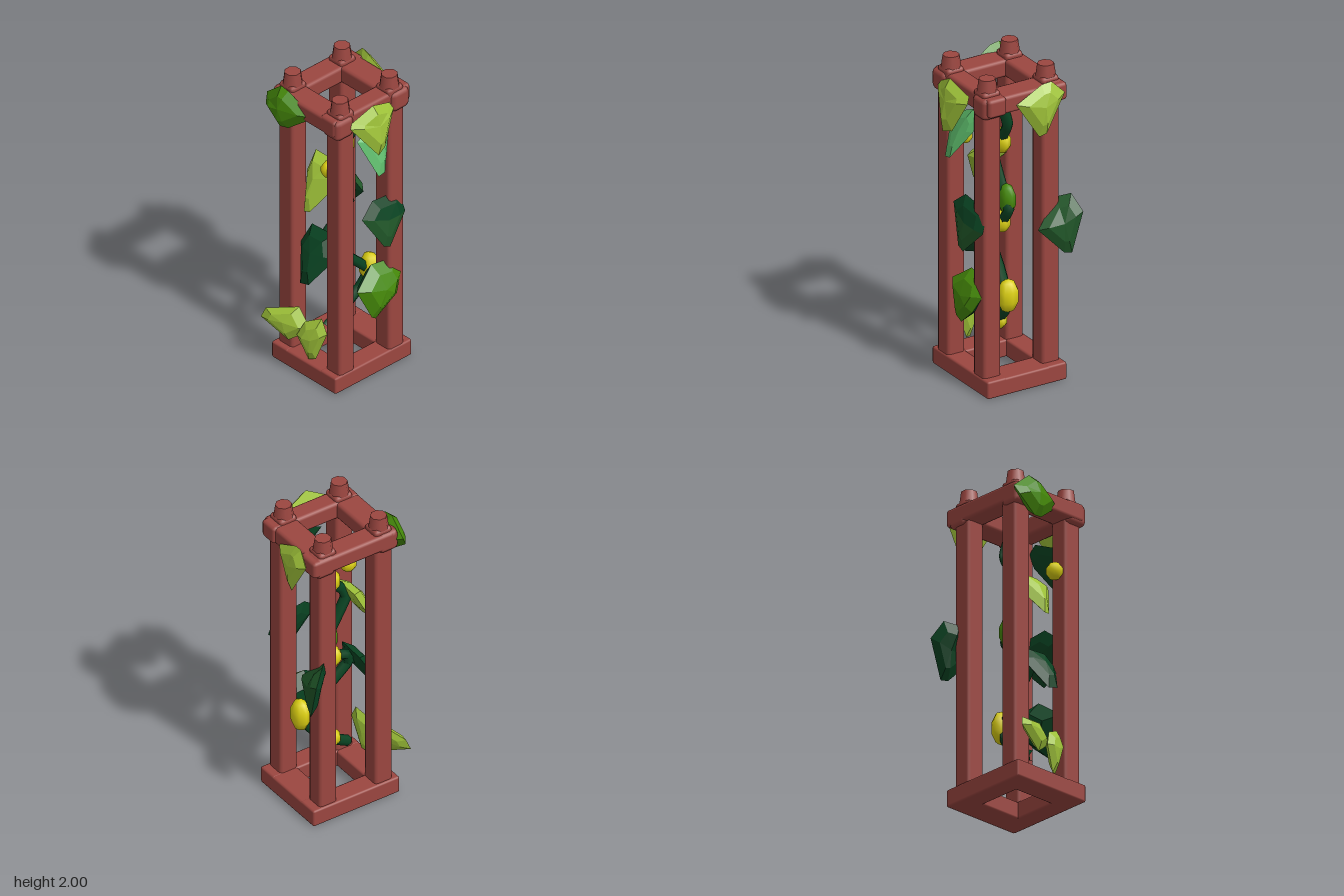
import * as THREE from 'three';
import { RoundedBoxGeometry } from 'three/addons/geometries/RoundedBoxGeometry.js';

const mat = (name, color) => {
  const m = new THREE.MeshStandardMaterial({ color });
  m.name = name;
  return m;
};

export function createModel() {
  const group = new THREE.Group();
  const wood = mat('red wood', 0x9b4640);
  const light = mat('light leaf green', 0xa0c43a);
  const mid = mat('mid leaf green', 0x468a0a);
  const mint = mat('mint green', 0x5cba6a);
  const deep = mat('deep green', 0x094322);
  const forest = mat('forest green', 0x205628);
  const yellow = mat('flower yellow', 0xdcd012);

  const add = (name, geo, material, x = 0, y = 0, z = 0) => {
    const m = new THREE.Mesh(geo, material);
    m.name = name;
    m.position.set(x, y, z);
    group.add(m);
    return m;
  };
  // Bevelled beam given by its two opposite corners
  const beam = (name, a, b, r = 0.02) => {
    const s = a.map((v, i) => Math.abs(b[i] - v));
    const c = a.map((v, i) => (v + b[i]) / 2);
    return add(name, new RoundedBoxGeometry(...s, 1, r), wood, ...c);
  };

  // Four posts with small tapered caps and knobbly joints
  for (const [x, sx] of [[-0.2, -1], [0.193, 1]]) {
    for (const [z, sz] of [[0.192, 1], [-0.21, -1]]) {
      beam('post', [x - 0.06, 0.02, z - 0.06], [x + 0.062, 1.93, z + 0.06]);
      const cap = new THREE.CylinderGeometry(0.05, 0.064, 0.1, 8);
      cap.rotateY(Math.PI / 8);
      add('postCap', cap, wood, x, 1.95, z);
      beam('joint', [x - 0.07 + sx * 0.025, 1.77, z - 0.07 + sz * 0.01],
        [x + 0.07 + sx * 0.025, 1.905, z + 0.07 + sz * 0.01], 0.03);
    }
  }
  // Top ring
  beam('topFrontBeam', [-0.3, 1.79, 0.125], [0.31, 1.905, 0.25]);
  beam('topBackBeam', [-0.26, 1.79, -0.29], [0.31, 1.9, -0.145]);
  beam('topLeftBeam', [0.13, 1.79, -0.28], [0.295, 1.9, 0.25]);
  beam('topRightBeam', [-0.3, 1.79, -0.26], [-0.14, 1.9, 0.25]);
  // Base ring
  beam('baseFront', [-0.3, 0, 0.125], [0.31, 0.11, 0.26], 0.012);
  beam('baseBack', [-0.3, 0, -0.285], [0.31, 0.11, -0.15], 0.012);
  beam('baseLeft', [0.135, 0, -0.285], [0.31, 0.108, 0.26], 0.012);
  beam('baseRight', [-0.3, 0, -0.285], [-0.14, 0.108, 0.26], 0.012);

  // Climbing zigzag stem
  const path = [
    [-0.13, 0.27, 0], [0, 0.34, 0], [0.12, 0.45, 0.02], [0.17, 0.56, 0.04],
    [0.04, 0.69, 0.01], [-0.12, 0.85, -0.01], [-0.1, 0.92, -0.02], [0, 0.96, -0.03],
    [0.08, 1.06, -0.03], [0, 1.18, -0.03], [-0.09, 1.34, -0.03], [-0.07, 1.41, -0.02],
    [0.02, 1.49, -0.01], [0.13, 1.63, 0.01], [0.13, 1.74, 0.04], [0.12, 1.82, 0.1],
  ].map(p => new THREE.Vector3(...p));
  const curve = new THREE.CatmullRomCurve3(path, false, 'catmullrom', 0.2);
  add('stem', new THREE.TubeGeometry(curve, 70, 0.033, 6), deep);
  // Short stalks to the side leaves
  for (const [a, b] of [
    [[-0.1, 0.86, -0.01], [-0.2, 0.84, 0]], [[-0.08, 1.35, -0.03], [-0.14, 1.35, -0.02]],
  ]) {
    const line = new THREE.LineCurve3(new THREE.Vector3(...a), new THREE.Vector3(...b));
    add('stalk', new THREE.TubeGeometry(line, 1, 0.025, 6), deep);
  }

  // Flowers and one green bud
  const blob = (name, m, x, y, z, rx, ry, rz) =>
    add(name, new THREE.SphereGeometry(1, 8, 5), m, x, y, z).scale.set(rx, ry, rz);
  blob('flower', yellow, 0, 0.34, 0, 0.075, 0.062, 0.054);
  blob('flower', yellow, 0.18, 0.565, 0.04, 0.06, 0.108, 0.07);
  blob('flower', yellow, 0, 0.955, -0.03, 0.055, 0.07, 0.057);
  blob('flower', yellow, 0.015, 1.485, -0.01, 0.082, 0.08, 0.058);
  blob('flower', yellow, -0.2, 1.465, 0.1, 0.055, 0.055, 0.05);
  blob('bud', mid, 0.04, 1.11, -0.04, 0.065, 0.1, 0.052);

  // Faceted leaf: an outline with a smaller raised ring and a peak on each side.
  // Materials: outer upper facets, outer lower facets, inner facets.
  const leaf = (name, pts, mats, out = 0.04, inn = 0.03) => {
    const p = pts.map(q => new THREE.Vector3(...q));
    const c = new THREE.Vector3();
    p.forEach(v => c.addScaledVector(v, 1 / p.length));
    const n = new THREE.Vector3();
    p.forEach((v, i) => n.add(v.clone().sub(c).cross(p[(i + 1) % p.length].clone().sub(c))));
    n.normalize();
    if (n.x * c.x + n.z * c.z < 0) {
      p.reverse();
      n.negate();
    }
    const pos = [];
    const geo = new THREE.BufferGeometry();
    const face = (a, b, d, m) => {
      geo.addGroup(pos.length / 3, 3, m);
      for (const v of [a, b, d]) pos.push(v.x, v.y, v.z);
    };
    for (const h of [out, -inn]) {
      const rim = h > 0 ? p : [...p].reverse();
      const ring = rim.map(v => v.clone().lerp(c, 0.4).addScaledVector(n, h * 0.75));
      const peak = c.clone().addScaledVector(n, h);
      rim.forEach((v, i) => {
        const j = (i + 1) % rim.length;
        const m = h < 0 ? 2 : (v.y + rim[j].y) / 2 < c.y ? 1 : 0;
        face(v, rim[j], ring[j], m);
        face(v, ring[j], ring[i], m);
        face(ring[i], ring[j], peak, m);
      });
    }
    geo.setAttribute('position', new THREE.Float32BufferAttribute(pos, 3));
    geo.computeVertexNormals();
    add(name, geo, mats);
  };
  const all = m => [m, m, m];

  // Front leaves
  leaf('topFrontLeaf', [[-0.2, 1.83, 0.28], [-0.18, 1.86, 0.27], [-0.04, 1.935, 0.3], [0.12, 1.87, 0.27],
    [0.135, 1.83, 0.29], [0.03, 1.63, 0.33], [-0.04, 1.61, 0.35]], all(light), 0.05, 0.035);
  leaf('mintLeaf', [[-0.11, 1.68, 0.24], [0.09, 1.77, 0.22], [0.14, 1.72, 0.22], [0.13, 1.64, 0.25],
    [0.02, 1.46, 0.34], [-0.03, 1.45, 0.34]], [mint, mint, deep], 0.025, 0.02);
  leaf('midFrontLeaf', [[-0.08, 1.12, 0.25], [0.02, 1.2, 0.23], [0.24, 1.17, 0.22], [0.255, 1.04, 0.26],
    [0.1, 0.88, 0.3], [0.05, 0.9, 0.3]], [deep, forest, deep], 0.035, 0.03);
  leaf('lowFrontLeaf', [[-0.11, 0.62, 0.24], [0.04, 0.73, 0.2], [0.2, 0.71, 0.21], [0.23, 0.62, 0.25],
    [0.17, 0.51, 0.28], [0.02, 0.39, 0.26], [-0.02, 0.42, 0.27]], [mid, mid, deep], 0.06, 0.11);
  // Leaves on the -x side
  leaf('upperSideLeaf', [[-0.12, 1.37, 0.13], [-0.08, 1.43, 0.03], [-0.08, 1.43, -0.14],
    [-0.14, 1.31, -0.15], [-0.27, 1.13, -0.04], [-0.26, 1.14, 0.0]], all(light), 0.06, 0.025);
  leaf('middleSideLeaf', [[-0.18, 0.83, 0.13], [-0.13, 0.95, 0.06], [-0.13, 0.94, -0.12],
    [-0.19, 0.83, -0.15], [-0.3, 0.64, -0.04], [-0.3, 0.66, 0.03]], all(deep), 0.05, 0.03);
  leaf('lowSideLeaf', [[-0.24, 0.33, 0.125], [-0.24, 0.42, 0.08], [-0.28, 0.37, -0.02],
    [-0.31, 0.27, -0.06], [-0.28, 0.12, 0.01], [-0.26, 0.13, 0.05]], all(light), 0.04, 0.035);
  leaf('lowBackSideLeaf', [[-0.25, 0.3, 0.0], [-0.25, 0.42, -0.1], [-0.34, 0.36, -0.29],
    [-0.36, 0.3, -0.31], [-0.31, 0.2, -0.13]], all(light), 0.045, 0.03);
  leaf('topSideLeaf', [[-0.27, 1.83, 0.05], [-0.3, 1.94, -0.14], [-0.3, 1.95, -0.2], [-0.3, 1.85, -0.32],
    [-0.33, 1.79, -0.3], [-0.33, 1.69, -0.18], [-0.32, 1.7, -0.12]], all(mid), 0.06, 0.06);
  // Leaves on the +x side
  leaf('topLeftLeaf', [[0.31, 1.84, 0.065], [0.31, 1.93, -0.11], [0.32, 1.94, -0.17], [0.34, 1.86, -0.25],
    [0.35, 1.63, -0.12], [0.33, 1.61, -0.08]], all(light), 0.045, 0.04);
  leaf('backCornerLeaf', [[0.27, 0.98, -0.11], [0.22, 1.14, -0.26], [0.28, 1.17, -0.33], [0.35, 1.07, -0.37],
    [0.34, 0.82, -0.3], [0.32, 0.82, -0.26]], [forest, forest, deep], 0.045, 0.045);
  return group;
}
